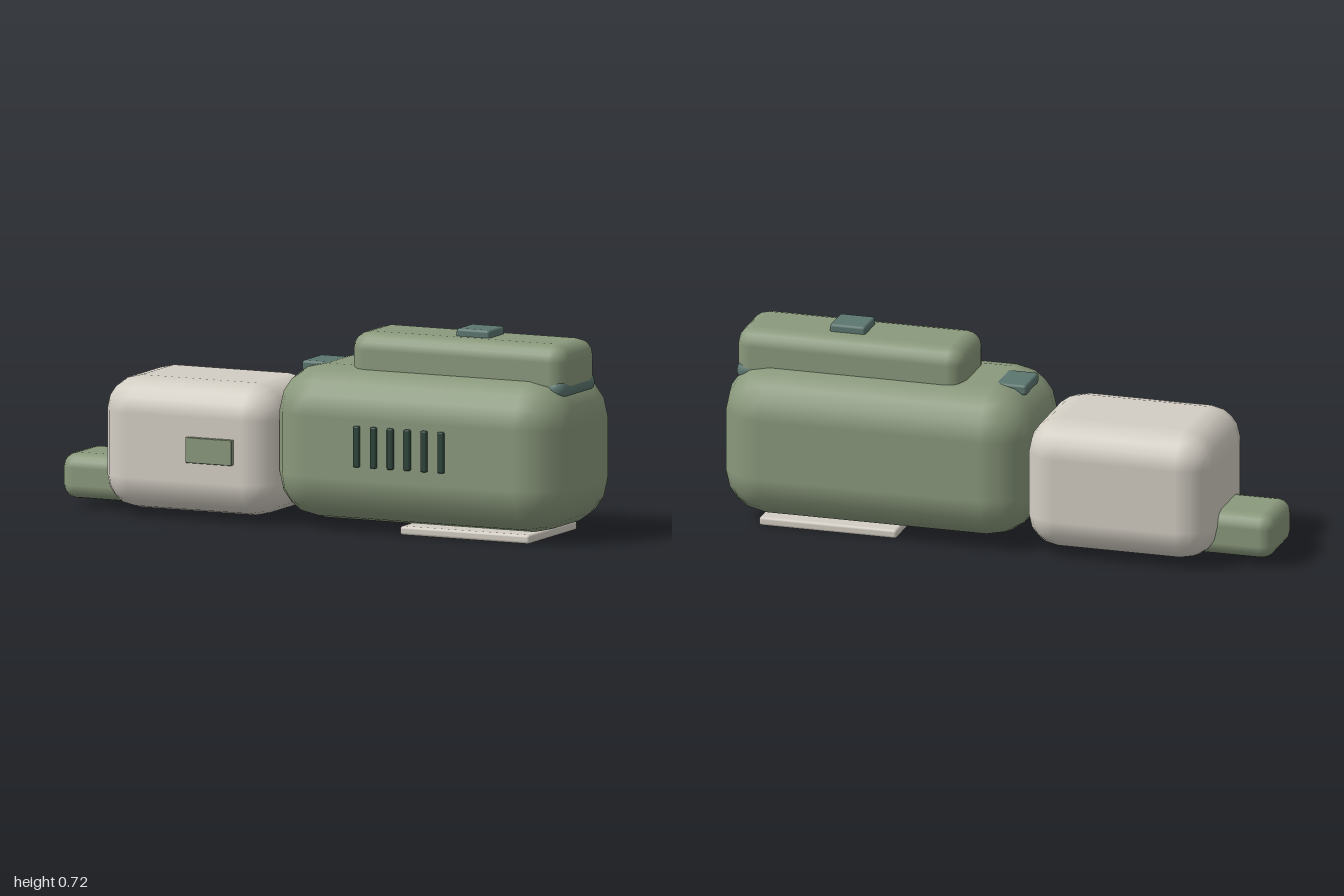
import * as THREE from 'three';
import { RoundedBoxGeometry } from 'three/addons/geometries/RoundedBoxGeometry.js';

const mat = (name, color) => {
  const m = new THREE.MeshStandardMaterial({ color });
  m.name = name;
  return m;
};

export function createModel() {
  const group = new THREE.Group();
  const green = mat('sageGreen', 0x8a997c);
  const cream = mat('warmCream', 0xd3cec4);
  const teal = mat('dullTeal', 0x5c766f);
  const dark = mat('darkGreen', 0x2e443b);

  // Rounded box given by its extents along each axis
  const block = (name, material, [x0, x1], [y0, y1], [z0, z1], radius, segments = 2) => {
    const geometry = new RoundedBoxGeometry(x1 - x0, y1 - y0, z1 - z0, segments, radius);
    const mesh = new THREE.Mesh(geometry, material);
    mesh.name = name;
    mesh.position.set((x0 + x1) / 2, (y0 + y1) / 2, (z0 + z1) / 2);
    group.add(mesh);
  };

  // Main masses
  block('mainBody', green, [-0.135, 1], [0.03, 0.575], [-0.278, 0.265], 0.165);
  block('rearBody', cream, [-0.8, -0.115], [0.022, 0.49], [-0.262, 0.238], 0.12);
  block('tailBlock', green, [-1, -0.6], [0.03, 0.192], [-0.142, 0.118], 0.05);

  // Raised housing, its collar and the button on top
  block('topHousing', green, [0.13, 0.965], [0.5, 0.696], [-0.147, 0.135], 0.06);
  block('housingCollar', teal, [0.72, 0.965], [0.5, 0.58], [-0.147, 0.135], 0.039);
  block('topButton', teal, [0.51, 0.64], [0.685, 0.723], [-0.069, 0.057], 0.01);

  // Small plate on the shoulder of the main body
  block('shoulderPlate', teal, [-0.085, 0.045], [0.535, 0.573], [-0.089, 0.066], 0.01);

  // Base plate
  block('basePlate', cream, [0.355, 0.858], [0, 0.032], [-0.201, 0.189], 0.01);

  // Side panel on the rear body
  block('sidePanel', green, [-0.445, -0.265], [0.212, 0.302], [0.234, 0.256], 0.003, 1);

  // Row of vents
  for (let i = 0; i < 6; i++) {
    const x = 0.228 + i * 0.0655;
    block('vent' + (i + 1), dark, [x - 0.012, x + 0.012], [0.242, 0.388], [0.25, 0.278], 0.006);
  }
  return group;
}
